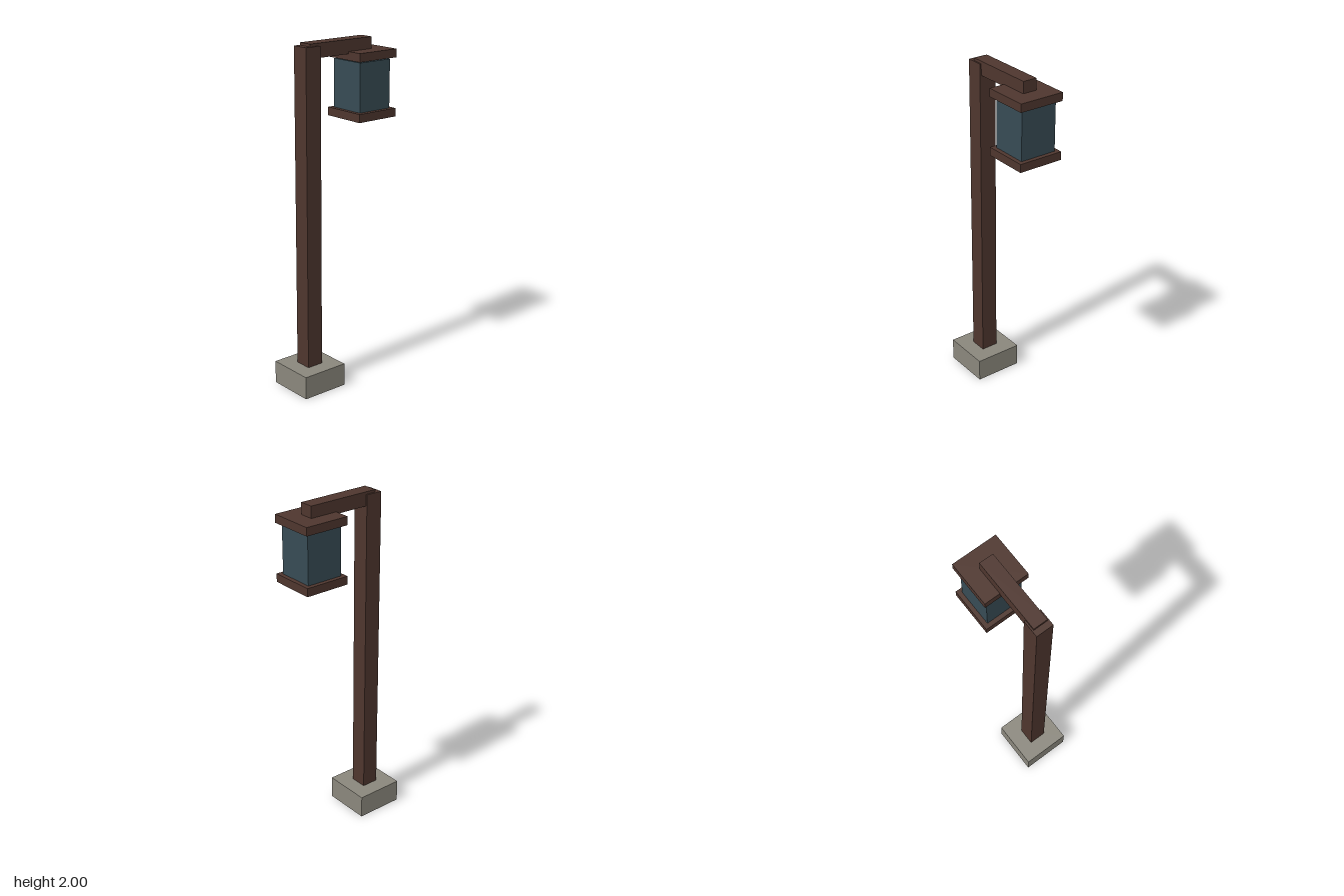
import * as THREE from 'three';

export function createModel() {
  const group = new THREE.Group();
  group.name = 'lampPost';

  const material = (name, color) => {
    const m = new THREE.MeshStandardMaterial({ color });
    m.name = name;
    return m;
  };
  const wood = material('darkWood', 0x4e362e);
  const stone = material('stone', 0x8a877c);
  const glass = material('darkGlass', 0x374b54);

  // Box centred on z = 0, spanning x0..x1 and y0..y1
  const block = (name, mat, x0, x1, y0, y1, depth) => {
    const mesh = new THREE.Mesh(new THREE.BoxGeometry(x1 - x0, y1 - y0, depth), mat);
    mesh.position.set((x0 + x1) / 2, (y0 + y1) / 2, 0);
    mesh.name = name;
    group.add(mesh);
  };

  // Footing, upright and arm
  block('base', stone, -0.334, -0.048, 0, 0.135, 0.286);
  block('post', wood, -0.242, -0.141, 0.135, 1.985, 0.102);
  block('arm', wood, -0.207, 0.23, 1.92, 2, 0.084);

  // Hanging lantern
  block('lanternCap', wood, 0.063, 0.333, 1.885, 1.933, 0.27);
  block('lanternGlass', glass, 0.088, 0.308, 1.598, 1.876, 0.22);
  block('lanternFloor', wood, 0.063, 0.333, 1.55, 1.598, 0.27);

  return group;
}
